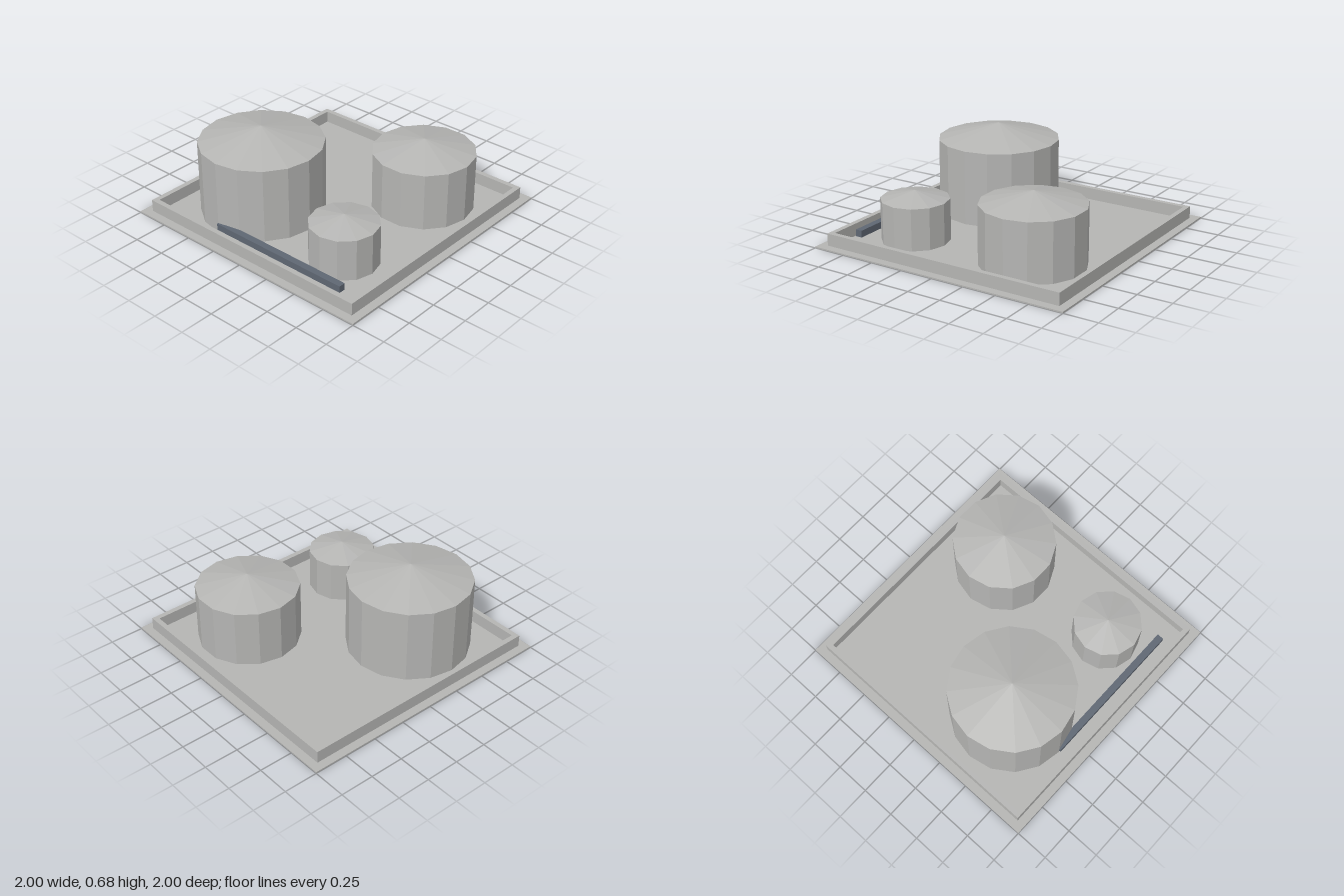
import * as THREE from 'three';

export function createModel() {
  const concrete = new THREE.MeshStandardMaterial({ color: 0xb5b5b3, flatShading: true });
  concrete.name = 'concrete grey';
  const steel = new THREE.MeshStandardMaterial({ color: 0x5f6773, flatShading: true });
  steel.name = 'blue grey steel';

  const model = new THREE.Group();
  model.name = 'tankFarm';
  const floor = 0.01;

  const add = (parent, name, geometry, material, x, y, z) => {
    const mesh = new THREE.Mesh(geometry, material);
    mesh.name = name;
    mesh.position.set(x, y, z);
    parent.add(mesh);
    return mesh;
  };

  // Ground slab
  add(model, 'groundSlab', new THREE.BoxGeometry(2, floor, 2), concrete, 0, floor / 2, 0);

  // Containment wall: a square ring around the yard
  const square = (Type, h) => new Type([
    new THREE.Vector2(-h, -h), new THREE.Vector2(h, -h),
    new THREE.Vector2(h, h), new THREE.Vector2(-h, h),
  ]);
  const ring = square(THREE.Shape, 0.938);
  ring.holes.push(square(THREE.Path, 0.9));
  const wall = new THREE.ExtrudeGeometry(ring, { depth: 0.1 - floor, bevelEnabled: false });
  wall.rotateX(-Math.PI / 2);
  add(model, 'containmentWall', wall, concrete, 0, floor, 0);

  // Storage tanks: faceted shell with a shallow cone roof
  const addTank = (name, x, z, radius, eaves, peak, sides) => {
    const tank = new THREE.Group();
    tank.name = name;
    tank.position.set(x, 0, z);
    const height = eaves - floor;
    add(tank, 'shell', new THREE.CylinderGeometry(radius, radius, height, sides, 1, true),
      concrete, 0, floor + height / 2, 0);
    add(tank, 'roof', new THREE.ConeGeometry(radius, peak - eaves, sides),
      concrete, 0, (eaves + peak) / 2, 0);
    model.add(tank);
  };
  addTank('largeTank', -0.377, -0.377, 0.449, 0.563, 0.675, 16);
  addTank('mediumTank', 0.434, 0.434, 0.374, 0.44, 0.53, 14);
  addTank('smallTank', -0.502, 0.497, 0.247, 0.316, 0.375, 12);

  // Raised pipe run along the right edge
  add(model, 'pipe', new THREE.BoxGeometry(0.05, 0.05, 1.125), steel, -0.814, 0.065, 0.187);

  return model;
}
